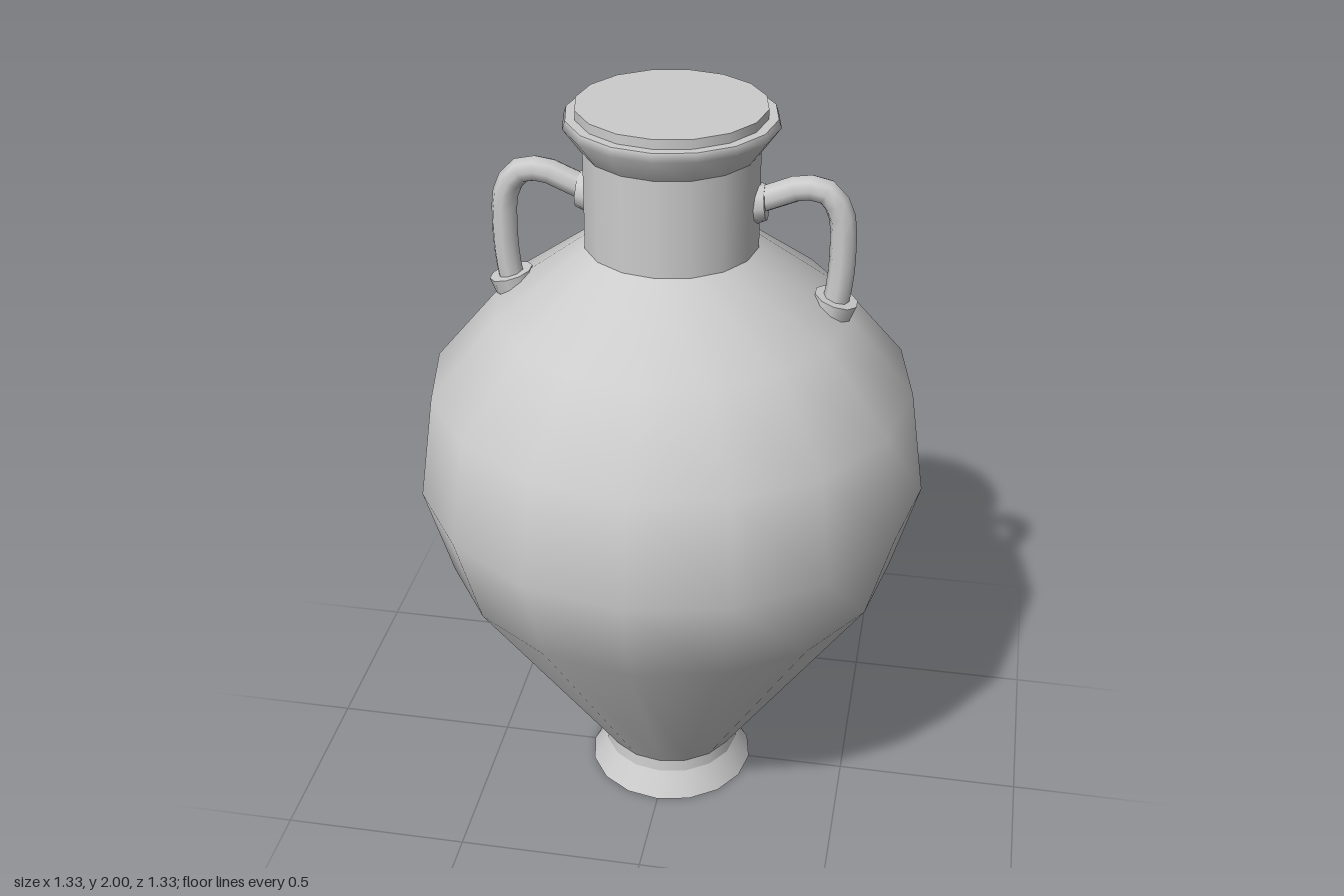
import * as THREE from 'three';

const material = new THREE.MeshStandardMaterial({ color: 0xcccccc });
const SIDES = 16;

function addMesh(parent, name, geometry) {
  const mesh = new THREE.Mesh(geometry, material);
  mesh.name = name;
  parent.add(mesh);
  return mesh;
}

// Turned section; the profile runs from bottom to top as [radius, height]
function turned(parent, name, profile) {
  const points = profile.map(([r, y]) => new THREE.Vector2(r, y));
  return addMesh(parent, name, new THREE.LatheGeometry(points, SIDES));
}

// Short flared ring where a handle meets the pot, its axis along the given direction
function collar(parent, name, position, axis, base, top, height) {
  const mesh = addMesh(parent, name, new THREE.CylinderGeometry(top, base, height, 10));
  mesh.position.copy(position);
  mesh.quaternion.setFromUnitVectors(new THREE.Vector3(0, 1, 0), axis.normalize());
}

function createHandle(name) {
  const handle = new THREE.Group();
  handle.name = name;
  const path = new THREE.CatmullRomCurve3([
    [0.2, 1.758], [0.26, 1.783], [0.325, 1.807], [0.385, 1.798],
    [0.42, 1.745], [0.428, 1.65], [0.424, 1.56], [0.41, 1.47],
  ].map(([x, y]) => new THREE.Vector3(x, y, 0)));
  addMesh(handle, 'handleLoop', new THREE.TubeGeometry(path, 14, 0.033, 8));
  collar(handle, 'neckCollar', new THREE.Vector3(0.218, 1.76, 0),
    new THREE.Vector3(1, 0.1, 0), 0.055, 0.045, 0.035);
  collar(handle, 'shoulderCollar', new THREE.Vector3(0.412, 1.497, 0),
    new THREE.Vector3(0.28, 1, 0), 0.052, 0.057, 0.045);
  return handle;
}

export function createModel() {
  const amphora = new THREE.Group();
  amphora.name = 'amphora';

  // Foot: flared skirt, short stem, flat standing ring and recessed underside
  turned(amphora, 'footSkirt', [[0.23, 0], [0.19, 0.07]]);
  turned(amphora, 'footStem', [[0.19, 0.07], [0.187, 0.105]]);
  turned(amphora, 'footRing', [[0.175, 0], [0.23, 0]]);
  turned(amphora, 'footRecessWall', [[0.165, 0.06], [0.175, 0]]);
  turned(amphora, 'footRecessBase', [[0, 0.06], [0.165, 0.06]]);

  // Belly and shoulder
  turned(amphora, 'body', [
    [0.187, 0.105], [0.597, 0.73], [0.667, 0.98],
    [0.626, 1.26], [0.455, 1.465], [0.22, 1.64],
  ]);

  // Neck
  turned(amphora, 'neck', [[0.22, 1.635], [0.22, 1.895]]);

  // Flared lip with a closed flat mouth
  turned(amphora, 'lipFlare', [[0.22, 1.89], [0.267, 1.955], [0.26, 1.976]]);
  turned(amphora, 'lipLedge', [[0.26, 1.976], [0.236, 1.976]]);
  turned(amphora, 'mouthBand', [[0.236, 1.976], [0.236, 2]]);
  turned(amphora, 'mouthCover', [[0.236, 2], [0, 2]]);

  // Pair of handles
  const left = createHandle('leftHandle');
  const right = createHandle('rightHandle');
  right.rotation.y = Math.PI;
  amphora.add(left, right);

  return amphora;
}
